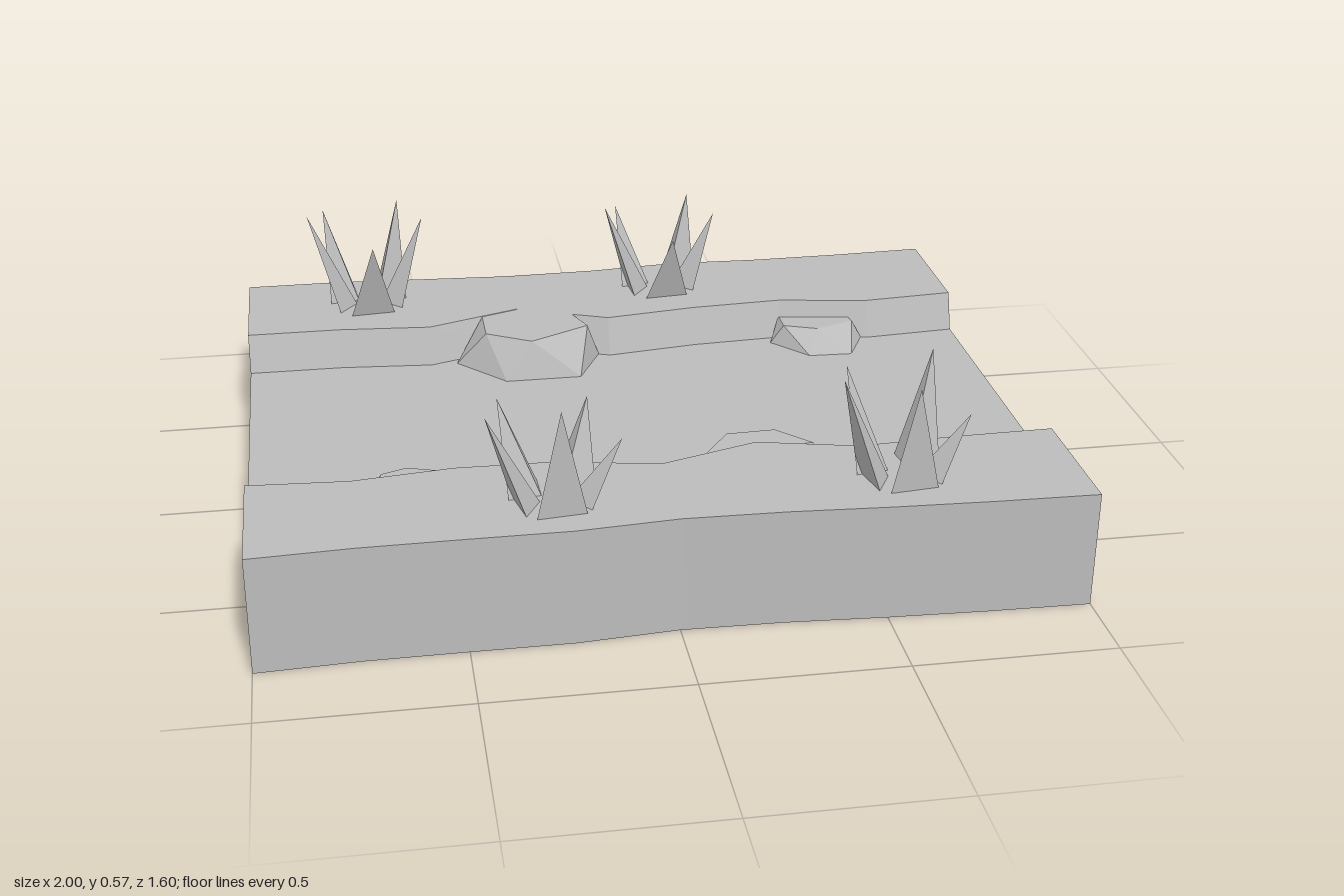
import * as THREE from 'three';
import { ConvexGeometry } from 'three/addons/geometries/ConvexGeometry.js';

const BANK = 0.3, BED = 0.2;

// Outlines of the ground at nine stations along x
const STATIONS = [-1, -0.75, -0.5, -0.25, 0, 0.25, 0.5, 0.75, 1];
const LINES = {
  back:       [-0.8, -0.8, -0.785, -0.77, -0.775, -0.797, -0.787, -0.79, -0.8],
  backTop:    [-0.45, -0.45, -0.43, -0.52, -0.42, -0.455, -0.47, -0.43, -0.45],
  backFoot:   [-0.415, -0.415, -0.395, -0.48, -0.385, -0.42, -0.435, -0.395, -0.415],
  frontFoot:  [0.41, 0.425, 0.395, 0.4, 0.45, 0.37, 0.43, 0.415, 0.41],
  frontTop:   [0.445, 0.46, 0.43, 0.435, 0.485, 0.405, 0.465, 0.45, 0.445],
  front:      [0.8, 0.787, 0.785, 0.785, 0.765, 0.77, 0.785, 0.795, 0.8],
};

// Slab with a sunken bed between two winding banks
function groundGeometry() {
  const L = LINES;
  const loops = STATIONS.map((x, i) => [
    [x, 0, L.back[i]], [x, BANK, L.back[i]],
    [x, BANK, L.backTop[i]], [x, BED, L.backFoot[i]],
    [x, BED, L.frontFoot[i]], [x, BANK, L.frontTop[i]],
    [x, BANK, L.front[i]], [x, 0, L.front[i]],
  ]);
  const pos = [];
  const quad = (a, b, c, d) => [a, b, c, a, c, d].forEach((p) => pos.push(...p));
  for (let i = 0; i < loops.length - 1; i++) {
    const p = loops[i], q = loops[i + 1];
    for (let k = 0; k < 8; k++) {
      const n = (k + 1) % 8;
      quad(p[k], p[n], q[n], q[k]);
    }
  }
  // End caps
  const first = loops[0], last = loops[loops.length - 1];
  for (const [a, b, c, d] of [[0, 1, 2, 3], [0, 3, 4, 7], [4, 5, 6, 7]]) {
    quad(last[a], last[b], last[c], last[d]);
    quad(first[d], first[c], first[b], first[a]);
  }
  const g = new THREE.BufferGeometry();
  g.setAttribute('position', new THREE.Float32BufferAttribute(pos, 3));
  g.computeVertexNormals();
  return g;
}

// Faceted rock: a crown outline above a wider foot outline, as [x, z] points
function rockGeometry(height, crown, foot) {
  return new ConvexGeometry([
    ...crown.map(([x, z]) => new THREE.Vector3(x, height, z)),
    ...foot.map(([x, z]) => new THREE.Vector3(x, BED, z)),
  ]);
}

const ROCKS = [
  [0.3, [[-0.35, -0.48], [-0.35, -0.36], [-0.23, -0.29], [-0.065, -0.375], [-0.1, -0.465], [-0.24, -0.52]],
    [[-0.43, -0.395], [-0.305, -0.255], [-0.1, -0.255], [-0.03, -0.4], [-0.12, -0.5], [-0.34, -0.5]]],
  [0.255, [[0.5, -0.46], [0.5, -0.39], [0.59, -0.355], [0.7, -0.395], [0.69, -0.455]],
    [[0.465, -0.4], [0.555, -0.295], [0.675, -0.29], [0.73, -0.4], [0.69, -0.46], [0.5, -0.47]]],
  [0.28, [[0.125, 0.41], [0.195, 0.31], [0.32, 0.305], [0.4, 0.39], [0.25, 0.41]],
    [[0.12, 0.36], [0.155, 0.27], [0.255, 0.235], [0.35, 0.265], [0.43, 0.36], [0.43, 0.43], [0.12, 0.42]]],
  [0.255, [[-0.685, 0.425], [-0.675, 0.35], [-0.61, 0.325], [-0.52, 0.355], [-0.525, 0.42]],
    [[-0.72, 0.425], [-0.7, 0.35], [-0.645, 0.3], [-0.535, 0.3], [-0.475, 0.385], [-0.5, 0.41]]],
];

// Blade tips as [x, z] offsets from the tuft centre
const BACK_TIPS = [[-0.16, 0.015], [-0.115, -0.085], [0.015, 0.15], [0.095, -0.085], [0.16, -0.01]];
const FRONT_TIPS = [[-0.16, 0.035], [-0.12, -0.1], [0.01, 0.09], [0.095, -0.11], [0.16, 0.015]];
const TUFTS = [
  [-0.66, -0.635, BACK_TIPS, [0.575, 0.555, 0.52, 0.575, 0.545]],
  [0.18, -0.635, BACK_TIPS, [0.555, 0.52, 0.495, 0.545, 0.51]],
  [-0.28, 0.625, FRONT_TIPS, [0.54, 0.525, 0.57, 0.51, 0.455]],
  [0.56, 0.625, FRONT_TIPS, [0.575, 0.55, 0.565, 0.575, 0.455]],
];

// Three-sided spike leaning out from the tuft centre to its tip
function bladeGeometry([tx, tz], tipY) {
  const a = Math.atan2(tz, tx), c = Math.cos(a), s = Math.sin(a);
  const at = (r, w) => new THREE.Vector3(c * r - s * w, BANK, s * r + c * w);
  return new ConvexGeometry([at(0.035, 0), at(0.088, 0.06), at(0.088, -0.06), new THREE.Vector3(tx, tipY, tz)]);
}

export function createModel() {
  const model = new THREE.Group();
  model.name = 'riverTile';
  const stone = new THREE.MeshStandardMaterial({ color: 0xbbbbbb });
  stone.name = 'plainGrey';

  const add = (parent, name, geometry) => {
    const mesh = new THREE.Mesh(geometry, stone);
    mesh.name = name;
    parent.add(mesh);
  };

  add(model, 'ground', groundGeometry());
  ROCKS.forEach((r, i) => add(model, `rock${i + 1}`, rockGeometry(...r)));

  TUFTS.forEach(([x, z, tips, heights], i) => {
    const tuft = new THREE.Group();
    tuft.name = `grassTuft${i + 1}`;
    tuft.position.set(x, 0, z);
    tips.forEach((tip, k) => add(tuft, `blade${k + 1}`, bladeGeometry(tip, heights[k])));
    model.add(tuft);
  });
  return model;
}
